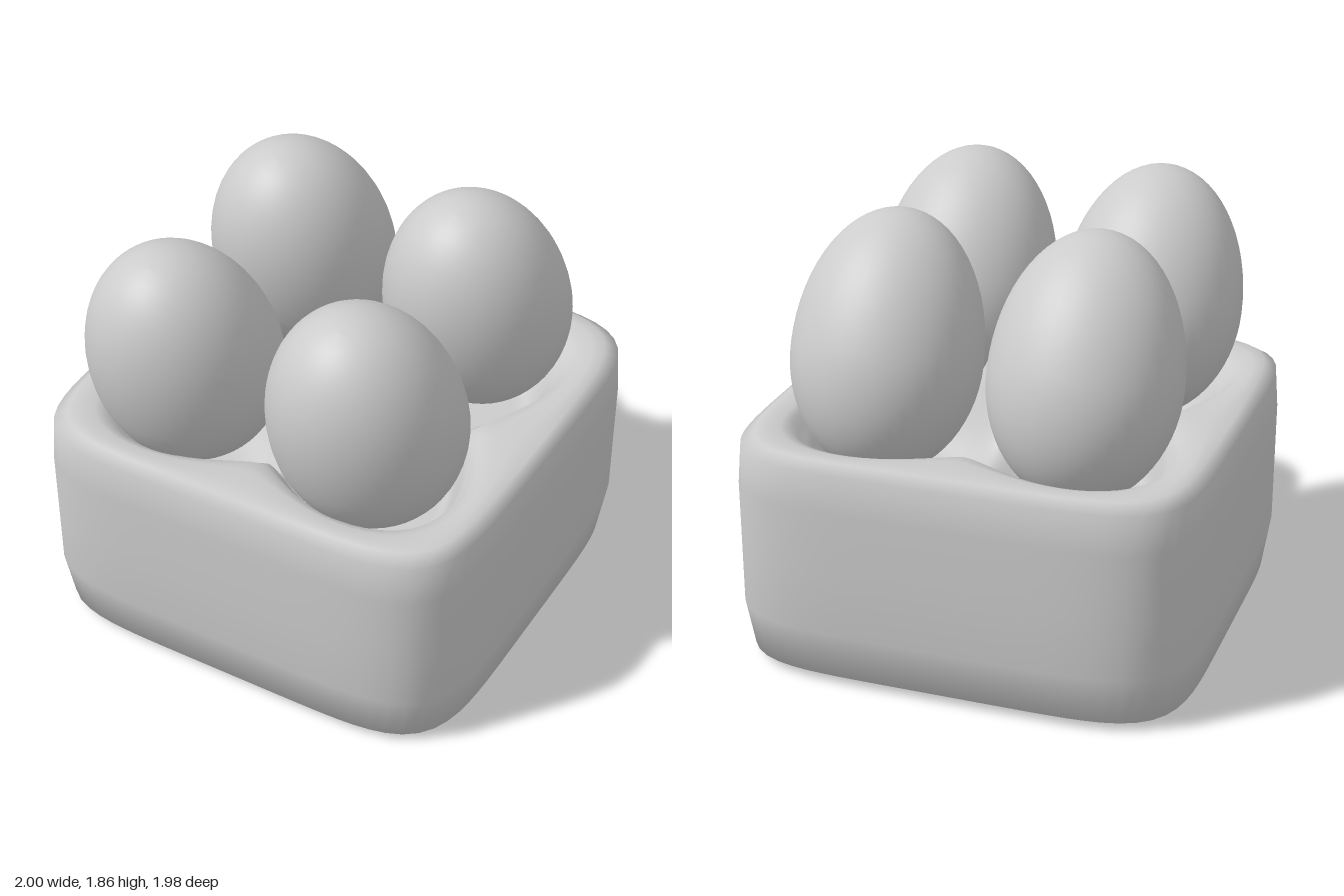
import * as THREE from 'three';

const SEG = 112;
const { smoothstep, lerp } = THREE.MathUtils;

// Outer outline of the tray: a square with soft corners and bulging sides
function outerRadius(a) {
  return Math.pow(Math.pow(Math.abs(Math.cos(a)), 6) + Math.pow(Math.abs(Math.sin(a)), 6), -1 / 6);
}

// Four-lobed outline of the hollow, pinched at the middle of each side
function hollowRadius(a) {
  return 0.62 + 0.37 * Math.pow(Math.sin(2 * a) ** 2, 0.75);
}

// Height inside the hollow: cups, low ridges between them and a central post
function floorHeight(x, z) {
  const ridge = 0.08 * Math.max(Math.exp(-((x / 0.1) ** 2)), Math.exp(-((z / 0.1) ** 2)));
  const post = Math.exp(-Math.pow(Math.hypot(x, z - 0.08) / 0.23, 2.5));
  return lerp(0.73 + ridge, 1.265, post);
}

function trayGeometry() {
  const rings = [];
  // Underside, outer wall and top edge: [scale of the outline, height]
  const profile = [[0, 0], [0.4, 0], [0.8, 0], [0.84, 0.004], [0.97, 0.04], [1, 0.25],
    [1, 0.52], [1, 0.8], [0.988, 0.965], [0.94, 1]];
  for (const [s, y] of profile) {
    rings.push((a) => [s * outerRadius(a), () => y]);
  }
  // Flat rim, rounding over into the hollow
  for (const [t, y] of [[0.3, 1], [0.6, 0.995], [0.85, 0.98], [1, 0.94]]) {
    rings.push((a) => [lerp(0.94 * outerRadius(a), hollowRadius(a), t), () => y]);
  }
  // Hollow, from its edge to the centre
  const inner = 32;
  for (let k = 1; k <= inner; k++) {
    const t = 1 - k / inner;
    const wall = smoothstep(t, 0.82, 1);
    rings.push((a) => [t * hollowRadius(a), (x, z) => lerp(floorHeight(x, z), 0.94, wall)]);
  }

  const pos = [];
  const index = [];
  rings.forEach((ring, i) => {
    for (let j = 0; j < SEG; j++) {
      const a = (j / SEG) * Math.PI * 2;
      const [r, height] = ring(a);
      const x = r * Math.cos(a);
      const z = r * Math.sin(a) * 0.99;
      pos.push(x, height(x, z), z);
      if (i === 0) continue;
      const k = (j + 1) % SEG;
      const p = (i - 1) * SEG + j, q = (i - 1) * SEG + k;
      const u = i * SEG + j, v = i * SEG + k;
      if (i > 1) index.push(p, u, q);
      if (i < rings.length - 1) index.push(q, u, v);
      else index.pop(), index.pop(), index.pop(), index.push(p, u, q);
    }
  });
  const g = new THREE.BufferGeometry();
  g.setAttribute('position', new THREE.Float32BufferAttribute(pos, 3));
  g.setIndex(index);
  g.computeVertexNormals();
  return g;
}

// Egg: long upper half, blunter lower half
function eggGeometry() {
  const pts = [];
  const n = 32;
  for (let i = 0; i <= n; i++) {
    const a = -Math.PI / 2 + (i / n) * Math.PI;
    const s = Math.sin(a);
    const r = i === 0 || i === n ? 0 : 0.4 * Math.cos(a);
    pts.push(new THREE.Vector2(r, s * (s > 0 ? 0.61 : 0.5)));
  }
  return new THREE.LatheGeometry(pts, 48);
}

export function createModel() {
  const group = new THREE.Group();
  group.name = 'eggTray';
  const material = new THREE.MeshStandardMaterial({ color: 0xcccccc });

  const tray = new THREE.Mesh(trayGeometry(), material);
  tray.name = 'tray';
  group.add(tray);

  // Four eggs, all leaning forward
  const egg = eggGeometry();
  for (const [row, z] of [['front', 0.525], ['back', -0.415]]) {
    for (const [side, x] of [['Left', 0.428], ['Right', -0.428]]) {
      const mesh = new THREE.Mesh(egg, material);
      mesh.name = `${row}${side}Egg`;
      mesh.position.set(x, 1.277, z);
      mesh.rotation.x = THREE.MathUtils.degToRad(22);
      group.add(mesh);
    }
  }
  return group;
}
